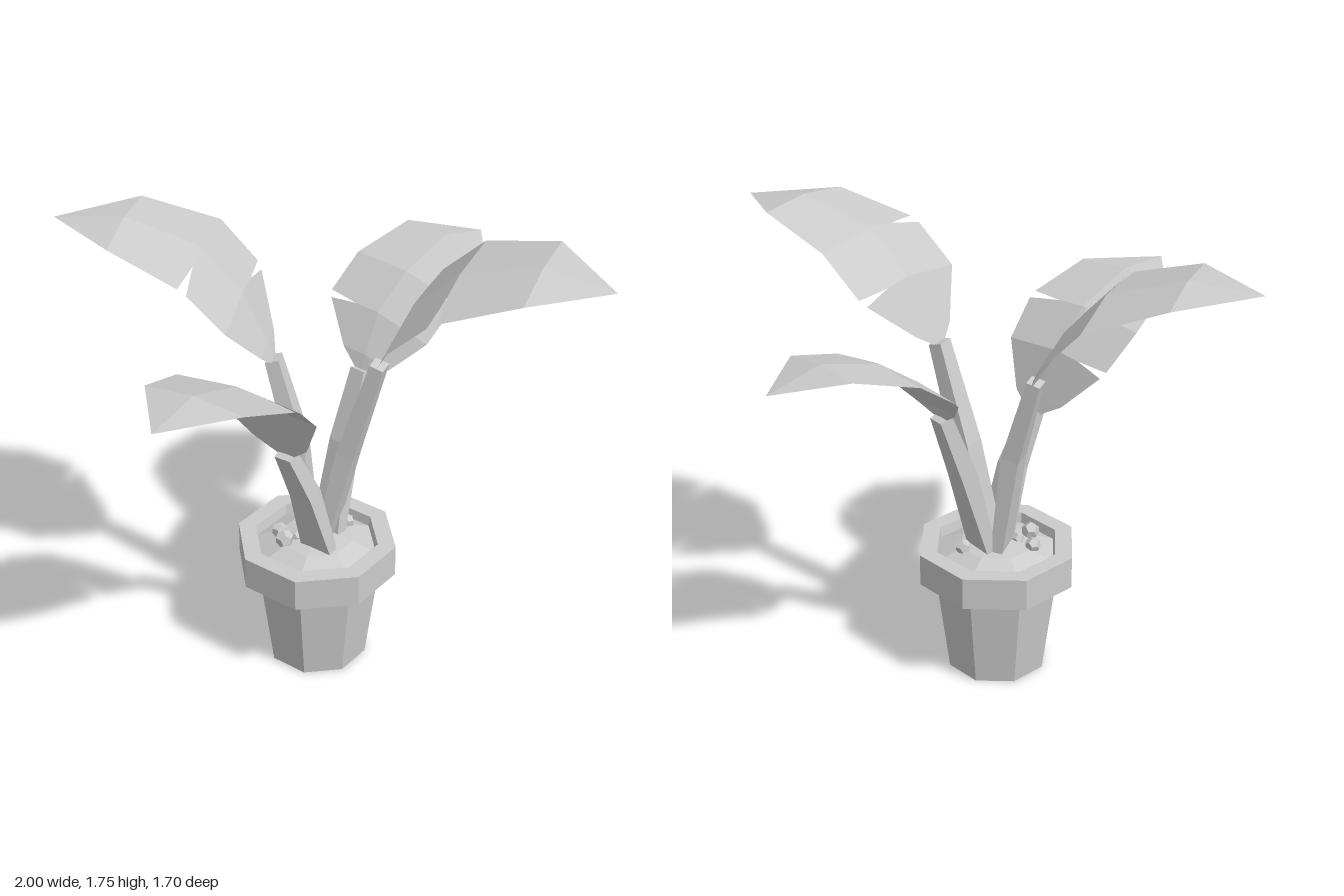
import * as THREE from 'three';

const grey = new THREE.MeshStandardMaterial({ color: 0xcccccc, flatShading: true });
const greyTwoSided = new THREE.MeshStandardMaterial({ color: 0xcccccc, flatShading: true, side: THREE.DoubleSide });
const v = (a) => new THREE.Vector3(...a);

function addMesh(parent, geometry, name, material = grey) {
  const mesh = new THREE.Mesh(geometry, material);
  mesh.name = name;
  parent.add(mesh);
  return mesh;
}

function fromTriangles(points) {
  const g = new THREE.BufferGeometry().setFromPoints(points);
  g.computeVertexNormals();
  return g;
}

const lathe = (profile) => new THREE.LatheGeometry(profile.map(([r, y]) => new THREE.Vector2(r, y)), 8);

// Four-sided stalk lofted along a path, wide at the soil and narrow at the blade
function stemGeometry(path, side) {
  const halfWidth = [0.065, 0.045, 0.032];
  const halfDepth = [0.022, 0.034, 0.026];
  const rings = path.map((p, i) => {
    const along = path[Math.min(i + 1, 2)].clone().sub(path[Math.max(i - 1, 0)]).normalize();
    const out = new THREE.Vector3().crossVectors(along, side).normalize();
    return [[-1, -1], [1, -1], [1, 1], [-1, 1]].map(([a, b]) =>
      p.clone().addScaledVector(side, a * halfWidth[i]).addScaledVector(out, b * halfDepth[i]));
  });
  const tris = [];
  for (let i = 0; i < 2; i++) {
    for (let k = 0; k < 4; k++) {
      const n = (k + 1) % 4;
      const [a, b, c, d] = [rings[i][k], rings[i][n], rings[i + 1][n], rings[i + 1][k]];
      tris.push(a, b, c, a, c, d);
    }
  }
  const [a, b, c, d] = rings[2];
  tris.push(a, b, c, a, c, d);
  return fromTriangles(tris);
}

// Creased blade: each half is an inner and an outer strip, with one slit in the outer strip
function bladeGeometry(ribs, halfWidths, side, roll, farSlitSide) {
  const at = (i, u) => ribs[i].clone()
    .addScaledVector(side, u * halfWidths[i])
    .add(new THREE.Vector3(0, halfWidths[i] * (roll * u - 0.1 * Math.abs(u)), 0));
  const tris = [];
  const quad = (a, b, c, d) => tris.push(a, b, c, a, c, d);
  for (const s of [-1, 1]) {
    const slit = s === farSlitSide ? 3 : 2;
    for (let i = 0; i < ribs.length - 1; i++) {
      const edgeA = at(i, s), edgeB = at(i + 1, s);
      const startA = i === slit ? edgeA.clone().lerp(edgeB, 0.06) : edgeA;
      const endB = i + 1 === slit ? edgeB.clone().lerp(edgeA, 0.1) : edgeB;
      const midA = at(i, s * 0.45), midB = at(i + 1, s * 0.45);
      quad(at(i, 0), midA, midB, at(i + 1, 0));
      quad(midA, startA, endB, midB);
    }
  }
  return fromTriangles(tris);
}

// stem: soil to blade; ribs: midrib from blade base to tip
const leaves = [
  { name: 'leftLeaf', roll: -0.08, farSlit: 1, widths: [0.285, 0.285, 0.22],
    stem: [[0, 0.49, 0.02], [0.09, 0.9, 0.02], [0.2, 1.28, 0.03]],
    ribs: [[0.225, 1.335, 0.03], [0.31, 1.52, 0.01], [0.47, 1.67, 0.035], [0.75, 1.745, 0.065], [1, 1.7, 0.1]] },
  { name: 'rightLeaf', roll: 0, farSlit: -1, widths: [0.28, 0.29, 0.225],
    stem: [[-0.06, 0.49, 0], [-0.11, 0.9, -0.01], [-0.2, 1.22, -0.025]],
    ribs: [[-0.225, 1.275, -0.04], [-0.32, 1.45, -0.07], [-0.465, 1.61, -0.06], [-0.74, 1.7, -0.045], [-0.995, 1.68, -0.02]] },
  { name: 'frontLeaf', roll: -0.03, farSlit: -1, widths: [0.225, 0.25, 0.2],
    stem: [[0, 0.49, 0.09], [-0.04, 0.78, 0.145], [-0.09, 0.98, 0.215]],
    ribs: [[-0.105, 1.04, 0.23], [-0.155, 1.21, 0.275], [-0.205, 1.345, 0.4], [-0.28, 1.425, 0.62], [-0.345, 1.405, 0.845]] },
  { name: 'backLeaf', roll: -0.1, farSlit: 1, widths: [0.235, 0.237, 0.186],
    stem: [[0, 0.49, -0.03], [0.04, 0.85, -0.12], [0.08, 1.11, -0.21]],
    ribs: [[0.09, 1.16, -0.23], [0.11, 1.29, -0.325], [0.185, 1.4, -0.46], [0.29, 1.465, -0.665], [0.39, 1.41, -0.85]] },
];

export function createModel() {
  const model = new THREE.Group();
  model.name = 'pottedPlant';

  // Octagonal pot with thick rim, and the mounded soil inside
  const pot = new THREE.Group();
  pot.name = 'pot';
  pot.position.set(-0.03, 0, 0.025);
  model.add(pot);
  addMesh(pot, lathe([[0, 0], [0.19, 0], [0.24, 0.385]]), 'potBody');
  addMesh(pot, lathe([[0.23, 0.385], [0.303, 0.385], [0.303, 0.51], [0.235, 0.51], [0.225, 0.45]]), 'potRim');
  addMesh(pot, lathe([[0.232, 0.47], [0.14, 0.51], [0, 0.53]]), 'soil');

  // Pebbles: x, y, z, radius
  [[-0.13, 0.535, 0.11, 0.035], [-0.17, 0.52, 0.04, 0.03], [-0.1, 0.52, 0.06, 0.025], [0.06, 0.52, -0.08, 0.03]]
    .forEach(([x, y, z, r], i) => {
      const pebble = addMesh(model, new THREE.DodecahedronGeometry(r), 'pebble');
      pebble.position.set(x, y, z);
      pebble.rotation.set(i, i * 2, 0.4);
    });

  // Leaves, each a stem with its blade
  for (const leaf of leaves) {
    const group = new THREE.Group();
    group.name = leaf.name;
    model.add(group);
    const stem = leaf.stem.map(v);
    const ribs = [stem[2], ...leaf.ribs.map(v)];
    const run = ribs[5].clone().sub(ribs[2]);
    const side = new THREE.Vector3(-run.z, 0, run.x).normalize();
    addMesh(group, stemGeometry(stem, side), 'stem', greyTwoSided);
    addMesh(group, bladeGeometry(ribs, [0.035, 0.11, ...leaf.widths, 0], side, leaf.roll, leaf.farSlit), 'blade', greyTwoSided);
  }
  return model;
}
